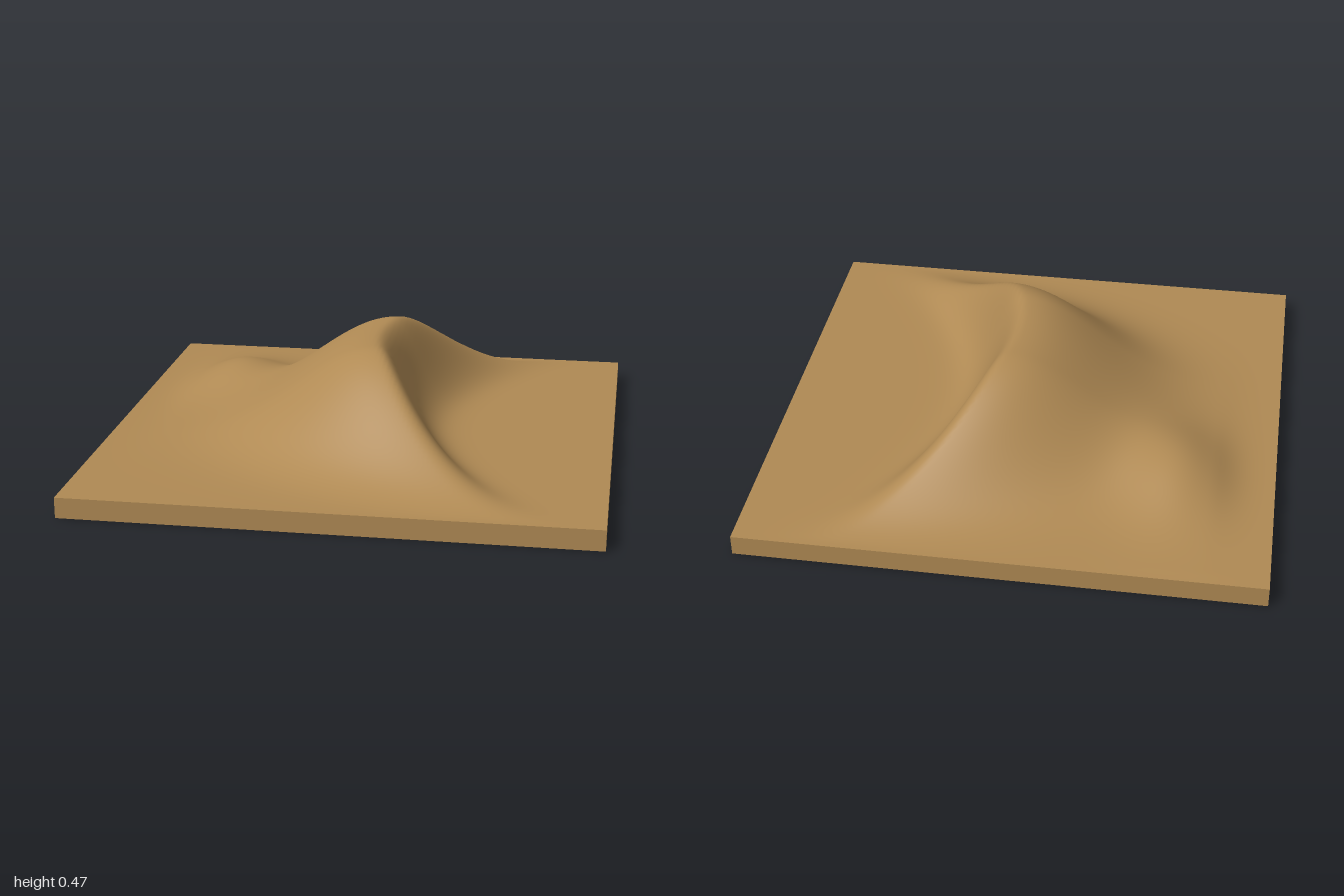
import * as THREE from 'three';

const BASE = 0.08;
const PEAK = 0.39;
const { smoothstep } = THREE.MathUtils;
const bell = (d, s) => Math.exp(-(d * d) / (2 * s * s));

// Height of the sand above the slab: crescent dune plus a low side mound
function sandHeight(x, z) {
  const ridge = PEAK * (1 - smoothstep(Math.abs(z), 0.2, 1));
  const d = x - (0.05 + 0.6 * z * z); // distance from the curved crest
  const dune = ridge * bell(d, d < 0 ? 0.32 : 0.11); // gentle windward, steep slip face
  const mound = 0.1 * bell(x + 0.62, 0.14) * bell(z + 0.42, 0.2);
  const border = smoothstep(1 - Math.abs(x), 0, 0.25) * smoothstep(1 - Math.abs(z), 0, 0.05);
  return (dune + mound) * border;
}

export function createModel() {
  const group = new THREE.Group();
  const sand = new THREE.MeshStandardMaterial({ color: 0xb08a54 });
  sand.name = 'sand';

  // Square slab whose top face is raised into the dune
  const geometry = new THREE.BoxGeometry(2, BASE, 2, 110, 1, 110);
  geometry.translate(0, BASE / 2, 0);
  const p = geometry.attributes.position;
  for (let i = 0; i < p.count; i++) {
    if (p.getY(i) > BASE / 2) p.setY(i, BASE + sandHeight(p.getX(i), p.getZ(i)));
  }
  geometry.computeVertexNormals();

  const dune = new THREE.Mesh(geometry, sand);
  dune.name = 'duneOnSlab';
  group.add(dune);
  return group;
}
